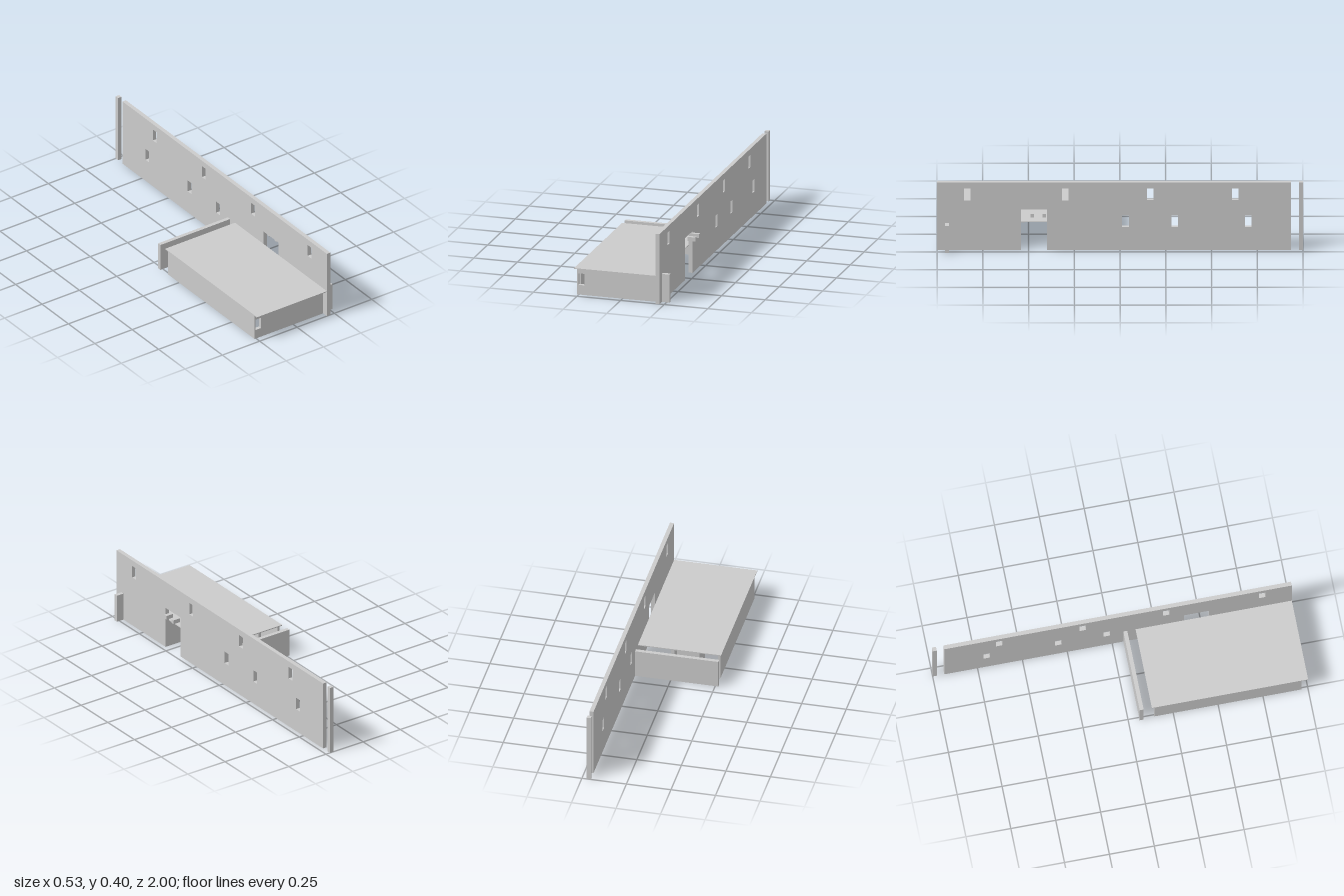
import * as THREE from 'three';

export function createModel() {
  const model = new THREE.Group();
  model.name = 'house';
  const material = new THREE.MeshStandardMaterial({ color: 0xcccccc, flatShading: true });

  const add = (name, geometry) => {
    const mesh = new THREE.Mesh(geometry, material);
    mesh.name = name;
    model.add(mesh);
    return mesh;
  };

  // Box given by its extents along x, y and z
  const block = (name, x0, x1, y0, y1, z0, z1) =>
    add(name, new THREE.BoxGeometry(x1 - x0, y1 - y0, z1 - z0))
      .position.set((x0 + x1) / 2, (y0 + y1) / 2, (z0 + z1) / 2);

  const rectHole = (u0, u1, v0, v1) => new THREE.Path([
    [u0, v0], [u0, v1], [u1, v1], [u1, v0],
  ].map(([u, v]) => new THREE.Vector2(u, v)));

  const outline = points => new THREE.Shape(points.map(([u, v]) => new THREE.Vector2(u, v)));

  const wallIn = 0.2, wallOut = 0.223, roofBase = 0.155, low = 0.16;

  // Long tall wall with doorway and slot windows, drawn in (z, y)
  const longWall = outline([
    [-0.935, 0], [0.4, 0], [0.4, 0.24], [0.54, 0.24], [0.54, 0], [1, 0], [1, 0.4], [-0.935, 0.4],
  ]);
  for (const z of [0.835, 0.3, -0.165, -0.63]) {
    longWall.holes.push(rectHole(z - 0.018, z + 0.018, 0.295, 0.365));
  }
  for (const z of [-0.03, -0.3, -0.7]) {
    longWall.holes.push(rectHole(z - 0.018, z + 0.018, 0.135, 0.205));
  }
  const longGeometry = new THREE.ExtrudeGeometry(longWall, { depth: wallOut - wallIn, bevelEnabled: false });
  longGeometry.rotateY(-Math.PI / 2).translate(wallOut, 0, 0);
  add('longWall', longGeometry);

  // Free post beyond the end of the long wall
  block('endPost', wallIn, wallOut, 0, 0.4, -1, -0.977);

  // Pier and two short beams on the outer face
  block('pier', wallOut, 0.267, 0, low, 0.935, 0.957);
  for (const z of [0.415, 0.48]) block('doorBeam', wallOut, 0.267, 0.21, 0.233, z - 0.01, z + 0.01);

  // Low roof and the separate rear wall
  block('roof', -0.267, wallIn, roofBase, low, 0.13, 1);
  block('rearWall', -0.267, wallIn, 0, low, 0.062, 0.084);

  // Front wall with its corner window
  const front = outline([[-0.26, 0], [wallIn, 0], [wallIn, roofBase], [-0.26, roofBase]]);
  front.holes.push(rectHole(-0.252, -0.217, 0.055, 0.121));
  const frontGeometry = new THREE.ExtrudeGeometry(front, { depth: 0.02, bevelEnabled: false });
  frontGeometry.translate(0, 0, 0.945);
  add('frontWall', frontGeometry);

  block('sideWall', -0.26, -0.245, 0, roofBase, 0.145, 0.945);

  // Partitions under the roof: [x0, x1, z0, z1]
  const partitions = [
    [-0.05, wallIn, 0.54, 0.56],
    [-0.04, wallIn, 0.74, 0.76],
    [-0.135, -0.117, 0.88, 0.945],
    [-0.135, -0.117, 0.74, 0.8],
    [-0.135, -0.117, 0.62, 0.68],
    [-0.14, 0.03, 0.27, 0.288],
    [-0.14, -0.122, 0.15, 0.27],
    [0.012, 0.03, 0.2, 0.27],
  ];
  for (const [x0, x1, z0, z1] of partitions) block('partition', x0, x1, 0, roofBase, z0, z1);

  // Inner column
  block('column', -0.135, -0.115, 0, roofBase, 0.54, 0.56);

  return model;
}
